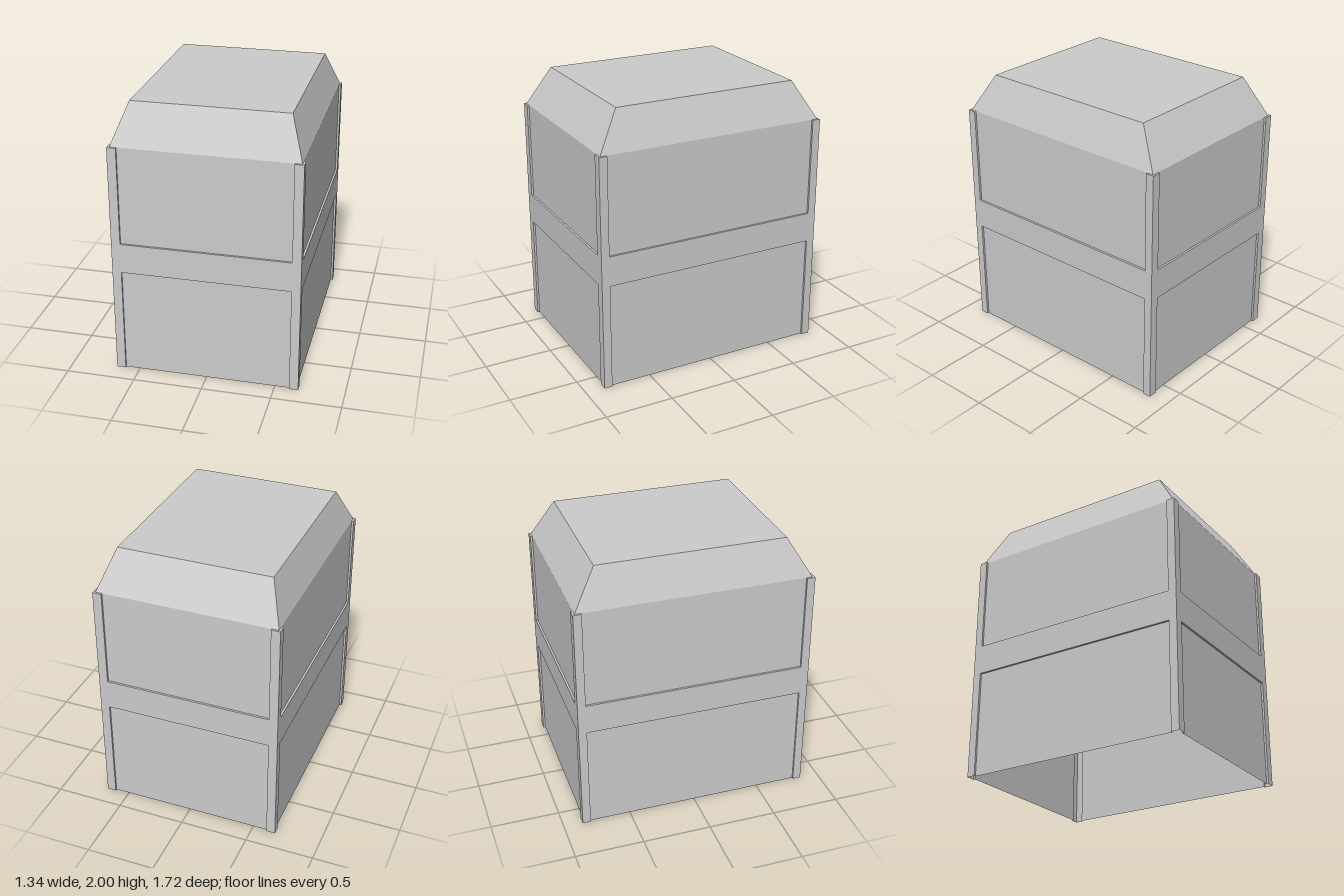
import * as THREE from 'three';

// Half sizes of the plan: outer frame, recessed panels, panel openings, roof top
const OUTER = [0.67, 0.86], PANEL = [0.655, 0.845], OPENING = [0.605, 0.8], CROWN = [0.555, 0.68];

// Plan outline, five points per corner: the panel face, the post sides and the post corner
function outline(y, [px, pz], [ox, oz], [wx, wz] = OPENING) {
  const corner = [[wx, pz], [wx, oz], [ox, oz], [ox, wz], [px, wz]];
  const points = [];
  for (const [sx, sz] of [[1, 1], [1, -1], [-1, -1], [-1, 1]]) {
    const part = sx * sz > 0 ? corner : [...corner].reverse();
    for (const [x, z] of part) points.push(new THREE.Vector3(x * sx, y, z * sz));
  }
  return points;
}

// Skin stacked outlines with flat faces, optionally closing the top
function loft(name, rings, material, capped = false) {
  const positions = [];
  const triangle = (a, b, c) => {
    const area = b.clone().sub(a).cross(c.clone().sub(a)).length();
    if (area > 1e-8) for (const p of [a, b, c]) positions.push(p.x, p.y, p.z);
  };
  for (let r = 0; r + 1 < rings.length; r++) {
    const low = rings[r], high = rings[r + 1];
    low.forEach((a, i) => {
      const j = (i + 1) % low.length;
      triangle(a, low[j], high[j]);
      triangle(a, high[j], high[i]);
    });
  }
  if (capped) {
    const top = rings[rings.length - 1];
    const centre = new THREE.Vector3(0, top[0].y, 0);
    top.forEach((a, i) => triangle(a, top[(i + 1) % top.length], centre));
  }
  const geometry = new THREE.BufferGeometry();
  geometry.setAttribute('position', new THREE.Float32BufferAttribute(positions, 3));
  geometry.computeVertexNormals();
  const mesh = new THREE.Mesh(geometry, material);
  mesh.name = name;
  return mesh;
}

export function createModel() {
  const group = new THREE.Group();
  group.name = 'panelledBlock';
  const grey = new THREE.MeshStandardMaterial({ color: 0xcccccc, side: THREE.DoubleSide });
  grey.name = 'light grey';

  const recessed = (y) => outline(y, PANEL, OUTER);
  const flush = (y) => outline(y, OUTER, OUTER);

  // Open-bottomed shell: recessed panels between corner posts, with a rail around the middle
  group.add(loft('lowerPanels', [recessed(0), recessed(0.785)], grey));
  group.add(loft('middleRail', [recessed(0.785), flush(0.785), flush(1.005), recessed(1.005)], grey));
  group.add(loft('upperPanels', [recessed(1.005), recessed(1.72), outline(1.72, PANEL, PANEL)], grey));

  // Hipped roof with a flat top
  group.add(loft('roof', [
    outline(1.72, PANEL, PANEL),
    outline(2, CROWN, CROWN, [0.5, 0.63]),
  ], grey, true));

  return group;
}
